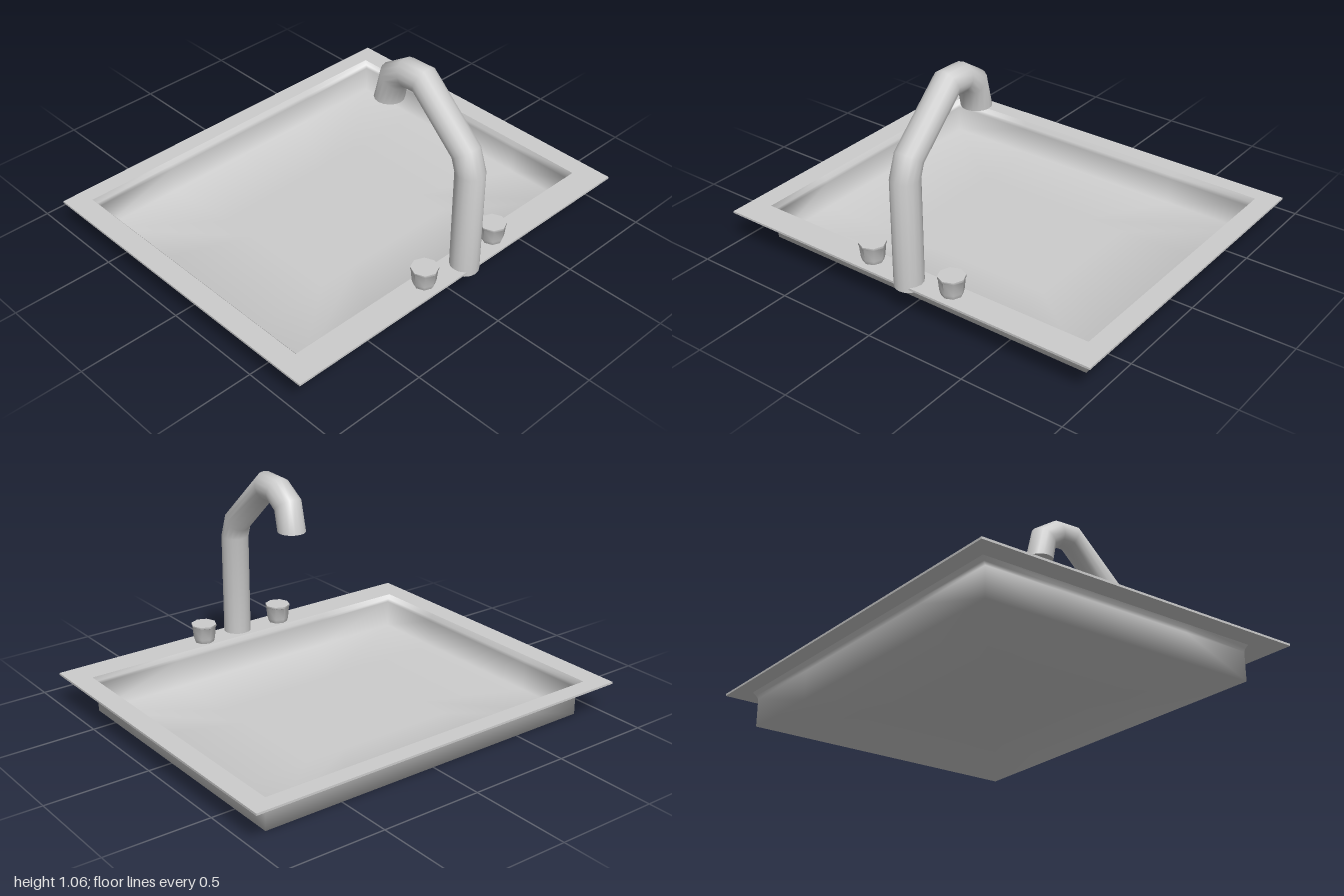
import * as THREE from 'three';
import { toCreasedNormals } from 'three/addons/utils/BufferGeometryUtils.js';

const material = new THREE.MeshStandardMaterial({ color: 0xcccccc, side: THREE.DoubleSide });

// Skin a list of closed rings that all have the same number of points
function loft(rings) {
  const n = rings[0].length;
  const index = [];
  for (let i = 0; i < rings.length - 1; i++) {
    for (let j = 0; j < n; j++) {
      const k = (j + 1) % n;
      const a = i * n + j, b = i * n + k, c = a + n, d = b + n;
      index.push(a, c, b, b, c, d);
    }
  }
  const geometry = new THREE.BufferGeometry();
  geometry.setAttribute('position', new THREE.Float32BufferAttribute(rings.flat(2), 3));
  geometry.setIndex(index);
  geometry.computeVertexNormals();
  return geometry;
}

// Rectangular ring, each side split into equal steps
function rectRing(x0, x1, z0, z1, y, steps = 4) {
  const corners = [[x1, z0], [x1, z1], [x0, z1], [x0, z0]];
  const ring = [];
  corners.forEach(([x, z], i) => {
    const [nx, nz] = corners[(i + 1) % 4];
    for (let s = 0; s < steps; s++) {
      const t = s / steps;
      ring.push([x + (nx - x) * t, y, z + (nz - z) * t]);
    }
  });
  return ring;
}

// Elliptical ring spanning an outer and inner point [z, y] of the spout outline
function spoutRing([oz, oy], [iz, iy], rx, sides = 16) {
  const ring = [];
  for (let j = 0; j < sides; j++) {
    const a = (j / sides) * Math.PI * 2;
    const s = Math.sin(a) / 2;
    ring.push([
      0.03 + rx * Math.cos(a),
      (oy + iy) / 2 + (oy - iy) * s,
      (oz + iz) / 2 + (oz - iz) * s,
    ]);
  }
  return ring;
}

export function createModel() {
  const group = new THREE.Group();
  const add = (name, geometry) => {
    const mesh = new THREE.Mesh(geometry, material);
    mesh.name = name;
    group.add(mesh);
    return mesh;
  };

  // Thin flat flange around the opening
  add('rim', toCreasedNormals(loft([
    rectRing(-0.9, 0.905, -0.75, 0.68, 0.16),
    rectRing(-1, 1, -0.83, 0.815, 0.16),
    rectRing(-1, 1, -0.83, 0.815, 0.17),
    rectRing(-0.895, 0.9, -0.745, 0.675, 0.17),
  ]), 0.7));

  // Shallow basin, softly shaded from wall into floor
  add('basin', loft([
    rectRing(-0.895, 0.9, -0.745, 0.675, 0.17),
    rectRing(-0.88, 0.89, -0.73, 0.665, 0.15),
    rectRing(-0.875, 0.885, -0.72, 0.662, 0.135),
    rectRing(-0.875, 0.885, -0.72, 0.662, 0),
    rectRing(-0.4, 0.41, -0.35, 0.3, 0),
    rectRing(0.005, 0.005, -0.03, -0.03, 0),
  ]));

  // Bent spout: outer and inner outline pairs as [z, y]
  const outline = [
    [[0.7625, 0.145], [0.7625, 0.145], 0],
    [[0.83, 0.145], [0.695, 0.145]],
    [[0.83, 0.67], [0.695, 0.67]],
    [[0.787, 0.795], [0.68, 0.717]],
    [[0.5, 1.06], [0.455, 0.93]],
    [[0.365, 1.055], [0.405, 0.93]],
    [[0.25, 0.98], [0.363, 0.9]],
    [[0.21, 0.82], [0.347, 0.82]],
    [[0.2785, 0.82], [0.2785, 0.82], 0],
  ];
  add('spout', toCreasedNormals(
    loft(outline.map(([outer, inner, rx = 0.068]) => spoutRing(outer, inner, rx))), 1.1));

  // Pair of tap knobs
  const knobProfile = [
    [0, 0.14], [0.045, 0.16], [0.054, 0.19], [0.06, 0.25], [0.063, 0.252], [0.063, 0.262], [0, 0.262],
  ].map(([r, y]) => new THREE.Vector2(r, y));
  const knobGeometry = toCreasedNormals(new THREE.LatheGeometry(knobProfile, 8), 0.95);
  for (const [name, x] of [['rightKnob', -0.2], ['leftKnob', 0.245]]) {
    add(name, knobGeometry).position.set(x, 0, 0.735);
  }

  return group;
}
